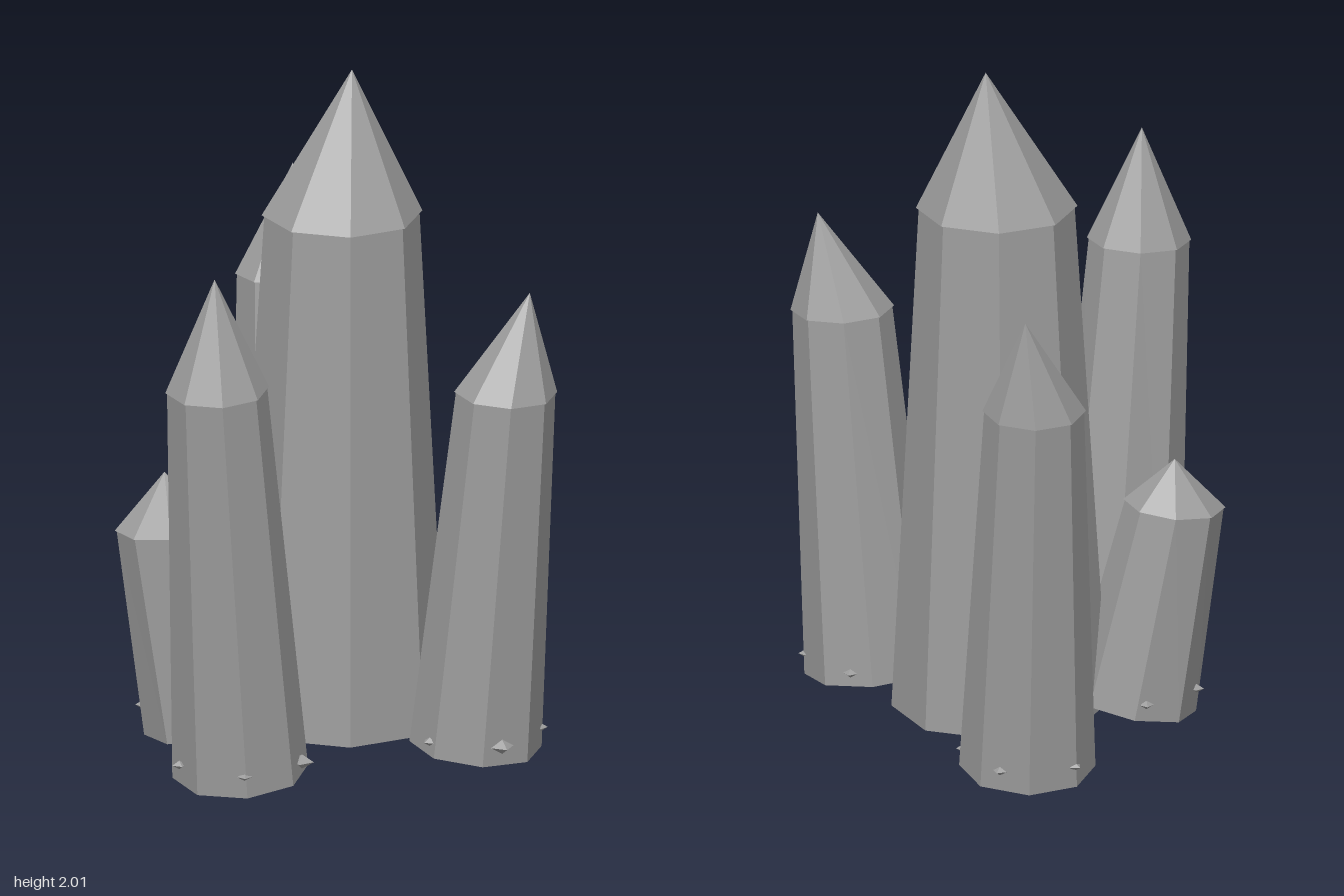
import * as THREE from 'three';

const SIDES = 8;

// Skin a stack of octagonal rings, listed bottom to top, with flat facets
function skin(rings) {
  const pos = [];
  const point = (ring, i) => {
    const a = (i / SIDES) * Math.PI * 2;
    const dx = ring.r * Math.cos(a), dz = ring.r * Math.sin(a);
    return [ring.x + dx, ring.y - ring.sx * dx - ring.sz * dz, ring.z + dz];
  };
  for (let k = 0; k < rings.length - 1; k++) {
    const lo = rings[k], hi = rings[k + 1];
    for (let i = 0; i < SIDES; i++) {
      const a = point(lo, i), b = point(lo, i + 1), c = point(hi, i + 1), d = point(hi, i);
      if (hi.r > 0) pos.push(...a, ...d, ...c);
      if (lo.r > 0) pos.push(...a, ...c, ...b);
    }
  }
  const geo = new THREE.BufferGeometry();
  geo.setAttribute('position', new THREE.Float32BufferAttribute(pos, 3));
  geo.computeVertexNormals();
  return geo;
}

// base, top: [x, z, radius]; tip: [x, y, z]; shards: start angle in degrees
const CRYSTALS = [
  { name: 'mainCrystal', base: [0.165, -0.03, 0.318], top: [0.168, -0.02, 0.237], h: 1.57, tip: [0.215, 2.0, -0.02] },
  { name: 'leftCrystal', base: [-0.438, 0.085, 0.2], top: [-0.583, 0.115, 0.153], h: 1.242, tip: [-0.595, 1.585, 0.115], shards: -8 },
  { name: 'frontCrystal', base: [0.2, 0.457, 0.195], top: [0.213, 0.56, 0.152], h: 1.125, tip: [0.27, 1.425, 0.605], shards: 46 },
  { name: 'rightCrystal', base: [0.498, -0.455, 0.2], top: [0.58, -0.56, 0.152], h: 1.175, tip: [0.665, 1.48, -0.605], shards: 54 },
  { name: 'smallCrystal', base: [-0.128, -0.29, 0.185], top: [-0.215, -0.375, 0.15], h: 0.635, tip: [-0.19, 0.785, -0.4], shards: 20 },
];

export function createModel() {
  const model = new THREE.Group();
  model.name = 'crystalCluster';
  const stone = new THREE.MeshStandardMaterial({ color: 0x9c9c9c });
  stone.name = 'grey stone';

  for (const { name, base, top, h, tip, shards } of CRYSTALS) {
    const group = new THREE.Group();
    group.name = name;
    const add = (part, geo) => {
      const mesh = new THREE.Mesh(geo, stone);
      mesh.name = part;
      group.add(mesh);
      return mesh;
    };
    const sx = (top[0] - base[0]) / h, sz = (top[1] - base[1]) / h;
    const ring = (x, y, z, r, tilt) => ({ x, y, z, r, sx: sx * tilt, sz: sz * tilt });
    const y0 = 0.024;

    // Leaning shaft with a shallow bulge underneath
    add('shaft', skin([
      ring(base[0], 0, base[1], 0, 1),
      ring(base[0], 0.008, base[1], base[2] * 0.45, 1),
      ring(base[0], y0, base[1], base[2], 1),
      ring(top[0], h, top[1], top[2] * 0.965, 0.5),
      ring(top[0], h, top[1], 0, 0.5),
    ]));

    // Pointed cap, slightly wider than the shaft
    add('cap', skin([
      ring(top[0], h, top[1], 0, 0.5),
      ring(top[0], h, top[1], top[2], 0.5),
      ring(tip[0], tip[1], tip[2], 0, 0),
    ]));

    // Tiny shards poking out around the foot
    if (shards !== undefined) {
      for (let i = 0; i < 5; i++) {
        const a = THREE.MathUtils.degToRad(shards + i * 72);
        const size = i === 1 ? 0.036 : 0.022;
        const shard = add('shard', new THREE.OctahedronGeometry(1));
        shard.scale.set(size, size * 0.6, size);
        shard.position.set(
          base[0] + sx * 0.07 + Math.cos(a) * base[2] * 0.95,
          0.07,
          base[1] + sz * 0.07 + Math.sin(a) * base[2] * 0.95,
        );
        shard.rotation.y = -a;
      }
    }
    model.add(group);
  }
  return model;
}
